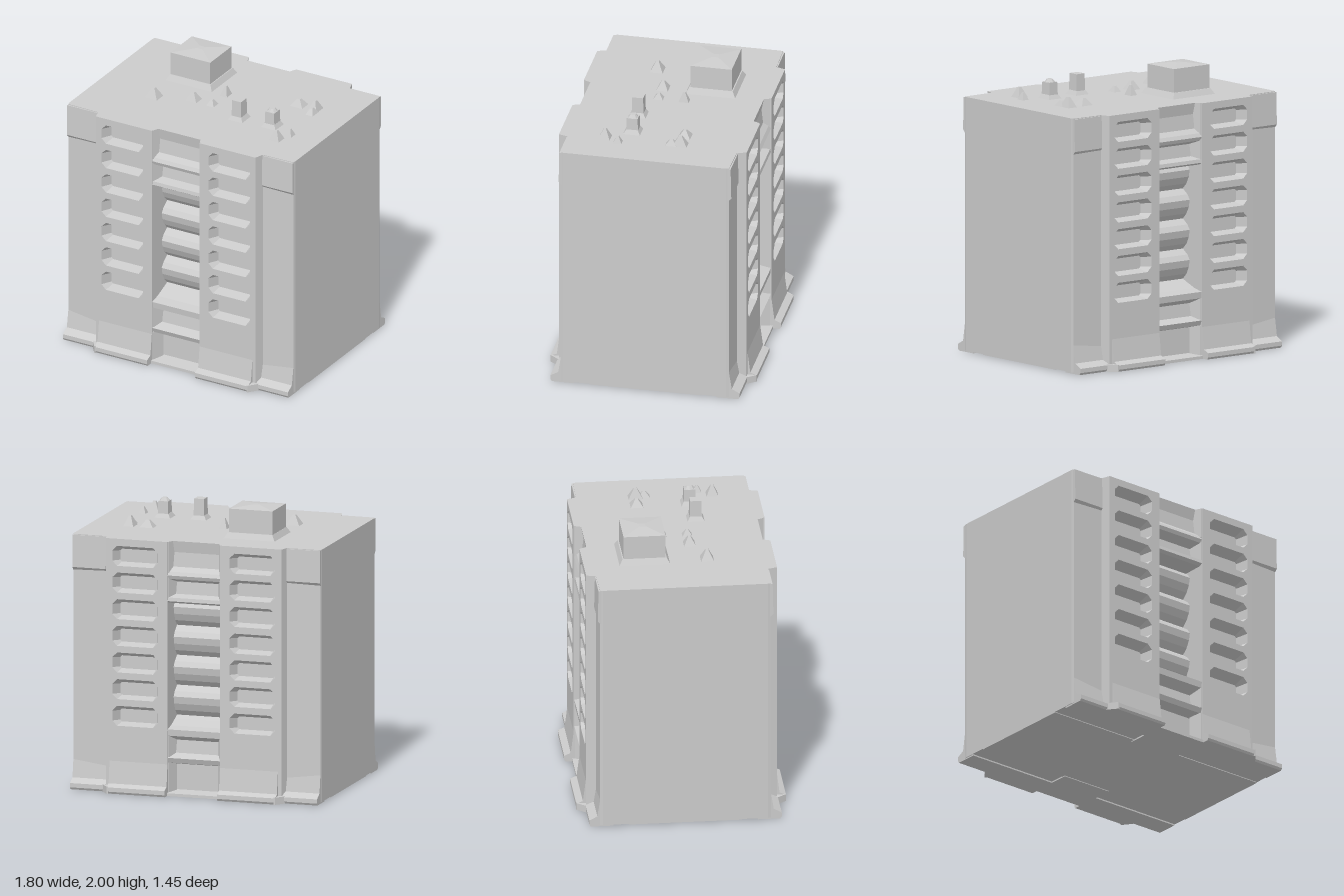
import * as THREE from 'three';

const material = new THREE.MeshStandardMaterial({ color: 0xcccccc, flatShading: true });
const openMaterial = new THREE.MeshStandardMaterial({ color: 0xcccccc, flatShading: true, side: THREE.DoubleSide });
const HEIGHT = 1.78;

function add(parent, name, geometry, mat = material) {
  const mesh = new THREE.Mesh(geometry, mat);
  mesh.name = name;
  parent.add(mesh);
  return mesh;
}

const toShape = (points) => new THREE.Shape(points.map(([x, y]) => new THREE.Vector2(x, y)));
const extrude = (shape, depth) => new THREE.ExtrudeGeometry(shape, { depth, bevelEnabled: false });

function box(x0, x1, y0, y1, z0, z1) {
  return new THREE.BoxGeometry(x1 - x0, y1 - y0, z1 - z0)
    .translate((x0 + x1) / 2, (y0 + y1) / 2, (z0 + z1) / 2);
}

// Profile of [z, y] points swept along x
function sweepX(points, x0, x1) {
  return extrude(toShape(points), x1 - x0).rotateY(-Math.PI / 2).translate(x1, 0, 0);
}

// Plan of [x, z] points raised along y
function raiseY(points, y0, y1) {
  return extrude(toShape(points), y1 - y0).rotateX(Math.PI / 2).translate(0, y1, 0);
}

// Four-sided tapered block: bottom w0 x d0, top scaled by taper
function taperedBlock(x, z, w, d, y0, y1, taper) {
  return new THREE.CylinderGeometry(taper * Math.SQRT1_2, Math.SQRT1_2, y1 - y0, 4)
    .rotateY(Math.PI / 4).scale(w, 1, d).translate(x, (y0 + y1) / 2, z);
}

// Window opening with clipped corners
function windowOutline(cx, cy, w, top, bottom, clip) {
  return [
    [cx - w, cy + bottom + clip], [cx - w + clip, cy + bottom],
    [cx + w - clip, cy + bottom], [cx + w, cy + bottom + clip],
    [cx + w, cy + top - clip], [cx + w - clip, cy + top],
    [cx - w + clip, cy + top], [cx - w, cy + top - clip],
  ];
}

// Sloping reveal between the opening and the smaller glazing
function reveal(outer, inner, zOuter, zInner) {
  const positions = [], index = [], n = outer.length;
  outer.forEach(([x, y]) => positions.push(x, y, zOuter));
  inner.forEach(([x, y]) => positions.push(x, y, zInner));
  for (let i = 0; i < n; i++) {
    const j = (i + 1) % n;
    index.push(i, j, n + j, i, n + j, n + i);
  }
  for (let i = 1; i < n - 1; i++) index.push(n, n + i, n + i + 1);
  const geometry = new THREE.BufferGeometry();
  geometry.setAttribute('position', new THREE.Float32BufferAttribute(positions, 3));
  geometry.setIndex(index);
  geometry.computeVertexNormals();
  return geometry;
}

// One half of a facade: window panel, corner strip and flared plinth
function facadeSide(s) {
  const side = new THREE.Group();
  side.name = s > 0 ? 'leftFacadeHalf' : 'rightFacadeHalf';
  const range = (a, b) => (s > 0 ? [a, b] : [-b, -a]);
  const mirror = (points) => points.map(([x, z]) => [s * x, z]);

  add(side, 'wallBacking', box(...range(0.19, 0.9), 0.01, HEIGHT, 0.38, 0.57));

  const panel = toShape(mirror([[0.19, 0.01], [0.62, 0.01], [0.62, HEIGHT], [0.19, HEIGHT]]));
  const cx = s * 0.425;
  for (let i = 0; i < 7; i++) {
    const cy = 1.66 - i * 0.187;
    const outer = windowOutline(cx, cy, 0.165, 0.07, -0.07, 0.035);
    const inner = windowOutline(cx, cy, 0.135, 0.035, -0.055, 0.012);
    panel.holes.push(new THREE.Path(outer.map(([x, y]) => new THREE.Vector2(x, y))));
    add(side, 'windowRecess', reveal(outer, inner, 0.66, 0.575), openMaterial);
  }
  add(side, 'windowPanel', extrude(panel, 0.09).translate(0, 0, 0.57));

  // Corner strip with a chamfer up to the panel and a thicker cap
  add(side, 'cornerStrip', raiseY(mirror([
    [0.62, 0.57], [0.9, 0.57], [0.895, 0.59], [0.655, 0.595], [0.635, 0.66], [0.62, 0.66],
  ]), 0.01, HEIGHT));
  add(side, 'cornerCap', sweepX(
    [[0.57, 1.53], [0.59, 1.53], [0.607, 1.55], [0.602, 1.775], [0.57, 1.775]], ...range(0.655, 0.897)));

  // Flared plinth below the panel and strip
  add(side, 'panelPlinth', sweepX(
    [[0.5, 0], [0.715, 0], [0.725, 0.015], [0.725, 0.045], [0.68, 0.065], [0.66, 0.22], [0.5, 0.22]],
    ...range(0.19, 0.61)));
  add(side, 'stripPlinth', sweepX(
    [[0.5, 0], [0.655, 0], [0.665, 0.015], [0.665, 0.045], [0.61, 0.075], [0.59, 0.2], [0.5, 0.2]],
    ...range(0.64, 0.895)));
  add(side, 'plinthLink', raiseY(mirror([[0.6, 0.5], [0.66, 0.5], [0.66, 0.66], [0.61, 0.725], [0.6, 0.725]]), 0, 0.05));
  return side;
}

// Central bay: doorway, ledges, rippled recess, upper window and crown panel
function centralBay() {
  const bay = new THREE.Group();
  bay.name = 'centralBay';
  const profile = [
    [0.36, 0], [0.67, 0], [0.67, 0.02], [0.56, 0.03], [0.56, 0.21], [0.64, 0.23], [0.655, 0.265],
    [0.58, 0.29], [0.57, 0.38], [0.65, 0.42], [0.655, 0.465], [0.58, 0.48], [0.5, 0.51],
  ];
  // Four rippled storeys
  [0.52, 0.73, 0.94, 1.15].forEach((y) => {
    profile.push([0.45, y + 0.01], [0.49, y + 0.05], [0.515, y + 0.1], [0.525, y + 0.15], [0.5, y + 0.185]);
  });
  profile.push(
    [0.45, 1.345], [0.63, 1.35], [0.655, 1.365], [0.65, 1.39], [0.58, 1.405], [0.57, 1.49],
    [0.645, 1.52], [0.655, 1.545], [0.64, 1.57], [0.605, 1.6], [0.595, 1.7], [0.61, HEIGHT], [0.36, HEIGHT],
  );
  add(bay, 'bayWall', sweepX(profile, -0.195, 0.195));

  for (const s of [-1, 1]) {
    // Tapered jambs beside the door, lower window, upper window and crown
    for (const [y0, y1] of [[0.02, 0.23], [0.27, 0.42], [1.38, 1.53], [1.56, HEIGHT]]) {
      add(bay, 'jamb', raiseY(
        [[s * 0.195, 0.55], [s * 0.15, 0.57], [s * 0.185, 0.65], [s * 0.195, 0.65]], y0, y1));
    }
  }
  return bay;
}

function facade(name) {
  const group = new THREE.Group();
  group.name = name;
  group.add(facadeSide(1), facadeSide(-1), centralBay());
  return group;
}

function roofEquipment() {
  const roof = new THREE.Group();
  roof.name = 'roofEquipment';

  // Stair housing with a flared skirt and shallow raised top
  add(roof, 'housingSkirt', taperedBlock(-0.32, -0.24, 0.38, 0.36, HEIGHT - 0.01, 1.82, 0.85));
  add(roof, 'housing', box(-0.48, -0.165, HEIGHT, 1.985, -0.385, -0.095));
  add(roof, 'housingTop', taperedBlock(-0.322, -0.24, 0.315, 0.29, 1.985, 2, 0.15));

  // Chimneys
  for (const [x, z, top] of [[0.23, 0.185, 1.925], [0.485, 0.17, 1.895]]) {
    add(roof, 'chimneySkirt', taperedBlock(x, z, 0.125, 0.13, HEIGHT - 0.01, 1.81, 0.62));
    add(roof, 'chimney', taperedBlock(x, z, 0.078, 0.085, HEIGHT, top, 0.9));
  }
  add(roof, 'chimneyCap', new THREE.CylinderGeometry(0.02, 0.038, 0.022, 8).translate(0.485, 1.905, 0.17));

  // Small vents: x, z, width, depth, top
  const vents = [
    [-0.445, 0.195, 0.11, 0.1, 1.85], [-0.185, 0.1, 0.1, 0.09, 1.84], [-0.035, 0.1, 0.07, 0.08, 1.82],
    [-0.03, -0.08, 0.06, 0.08, 1.85], [0.485, -0.195, 0.11, 0.1, 1.83], [0.615, -0.19, 0.08, 0.11, 1.85],
    [0.625, -0.13, 0.07, 0.1, 1.82], [0.665, 0.24, 0.06, 0.07, 1.83], [0.615, 0.34, 0.09, 0.09, 1.85],
  ];
  for (const [x, z, w, d, top] of vents) {
    add(roof, 'vent', taperedBlock(x, z, w, d, HEIGHT - 0.01, top, 0.2));
  }
  return roof;
}

export function createModel() {
  const model = new THREE.Group();
  model.name = 'apartmentBlock';
  add(model, 'core', box(-0.9, 0.9, 0.005, HEIGHT, -0.39, 0.39));
  const back = facade('backFacade');
  back.rotation.y = Math.PI;
  model.add(facade('frontFacade'), back, roofEquipment());
  return model;
}
